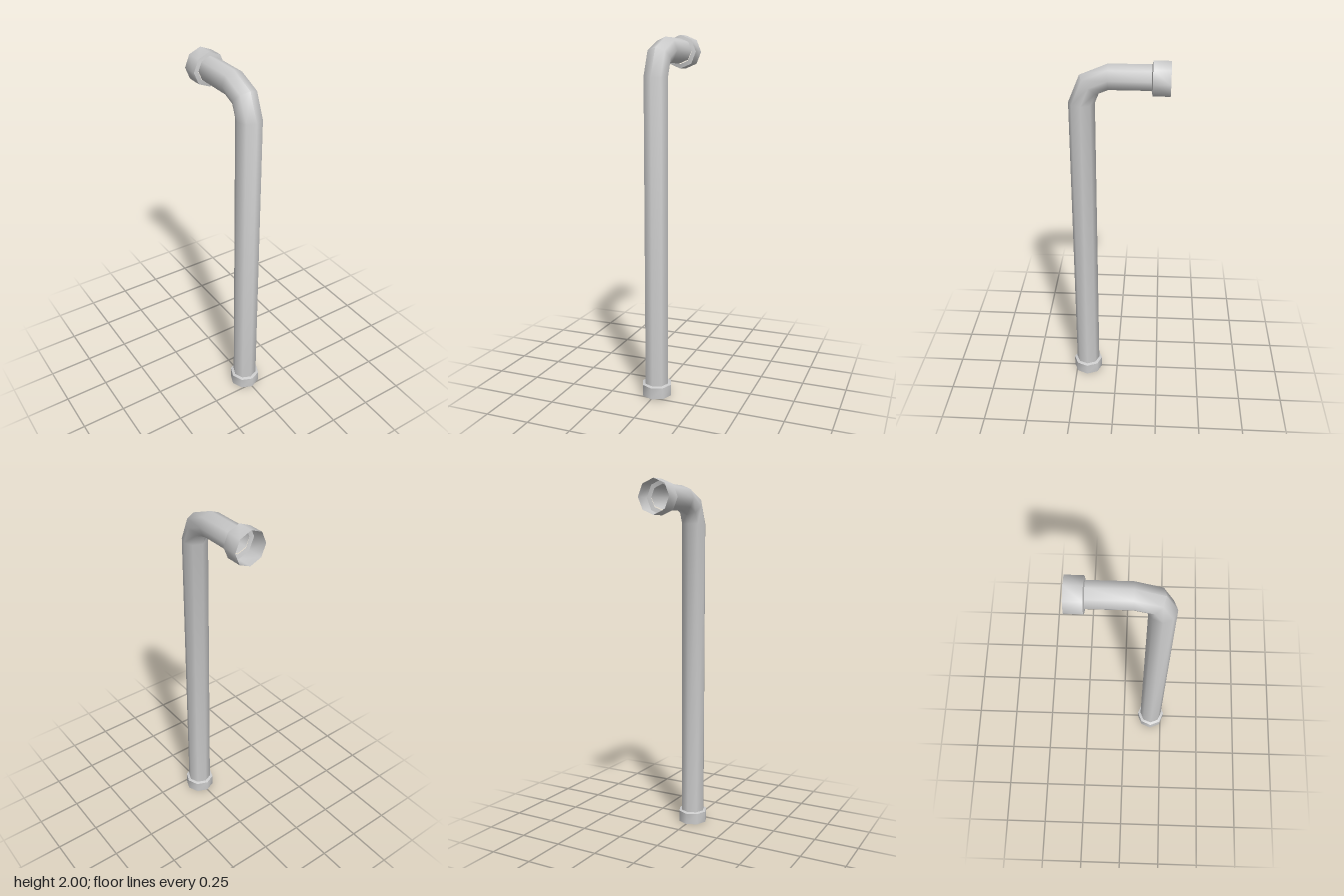
import * as THREE from 'three';
import { toCreasedNormals } from 'three/addons/utils/BufferGeometryUtils.js';

const SIDES = 8;
const PIPE_R = 0.069;
const LEG_Z = 0.182;    // axis of the upright run
const BEND_R = 0.137;   // centreline radius of the elbow
const BEND_Y = 1.775;   // height where the elbow starts
const BEND_Z = LEG_Z - BEND_R;
const ARM_Y = BEND_Y + BEND_R;

const material = new THREE.MeshStandardMaterial({ color: 0xcccccc, side: THREE.DoubleSide });

// Skins octagonal rings; each station is [y, z, tilt, radius], tilt 0 = up, 90 deg = backwards
function sweep(name, stations) {
  const positions = [];
  const index = [];
  for (const [y, z, tilt, r] of stations) {
    for (let j = 0; j < SIDES; j++) {
      const a = (j / SIDES) * Math.PI * 2;
      const n = r * Math.cos(a);
      positions.push(r * Math.sin(a), y + n * Math.sin(tilt), z + n * Math.cos(tilt));
    }
  }
  for (let i = 0; i < stations.length - 1; i++) {
    for (let j = 0; j < SIDES; j++) {
      const k = (j + 1) % SIDES;
      const a = i * SIDES + j, b = i * SIDES + k;
      const c = b + SIDES, d = a + SIDES;
      index.push(a, b, c, a, c, d);
    }
  }
  const geometry = new THREE.BufferGeometry();
  geometry.setAttribute('position', new THREE.Float32BufferAttribute(positions, 3));
  geometry.setIndex(index);
  const mesh = new THREE.Mesh(toCreasedNormals(geometry, 1.0), material);
  mesh.name = name;
  return mesh;
}

export function createModel() {
  const group = new THREE.Group();
  group.name = 'bentPipe';
  const back = Math.PI / 2;

  // Upright run, two-step elbow and short horizontal arm
  const path = [[0.07, LEG_Z, 0, PIPE_R]];
  for (let i = 0; i <= 2; i++) {
    const t = (i / 2) * back;
    path.push([BEND_Y + BEND_R * Math.sin(t), BEND_Z + BEND_R * Math.cos(t), t, PIPE_R]);
  }
  path.push([ARM_Y, -0.175, back, PIPE_R]);
  group.add(sweep('pipe', path));

  // Open collar at the foot, with a sloped shoulder
  group.add(sweep('lowerCollar', [
    [0, LEG_Z, 0, 0.086],
    [0.065, LEG_Z, 0, 0.086],
    [0.07, LEG_Z, 0, PIPE_R],
  ]));

  // Larger open collar at the end of the arm
  group.add(sweep('upperCollar', [
    [ARM_Y - 0.005, -0.175, back, PIPE_R],
    [ARM_Y - 0.005, -0.18, back, 0.093],
    [ARM_Y - 0.005, -0.27, back, 0.093],
  ]));

  return group;
}
